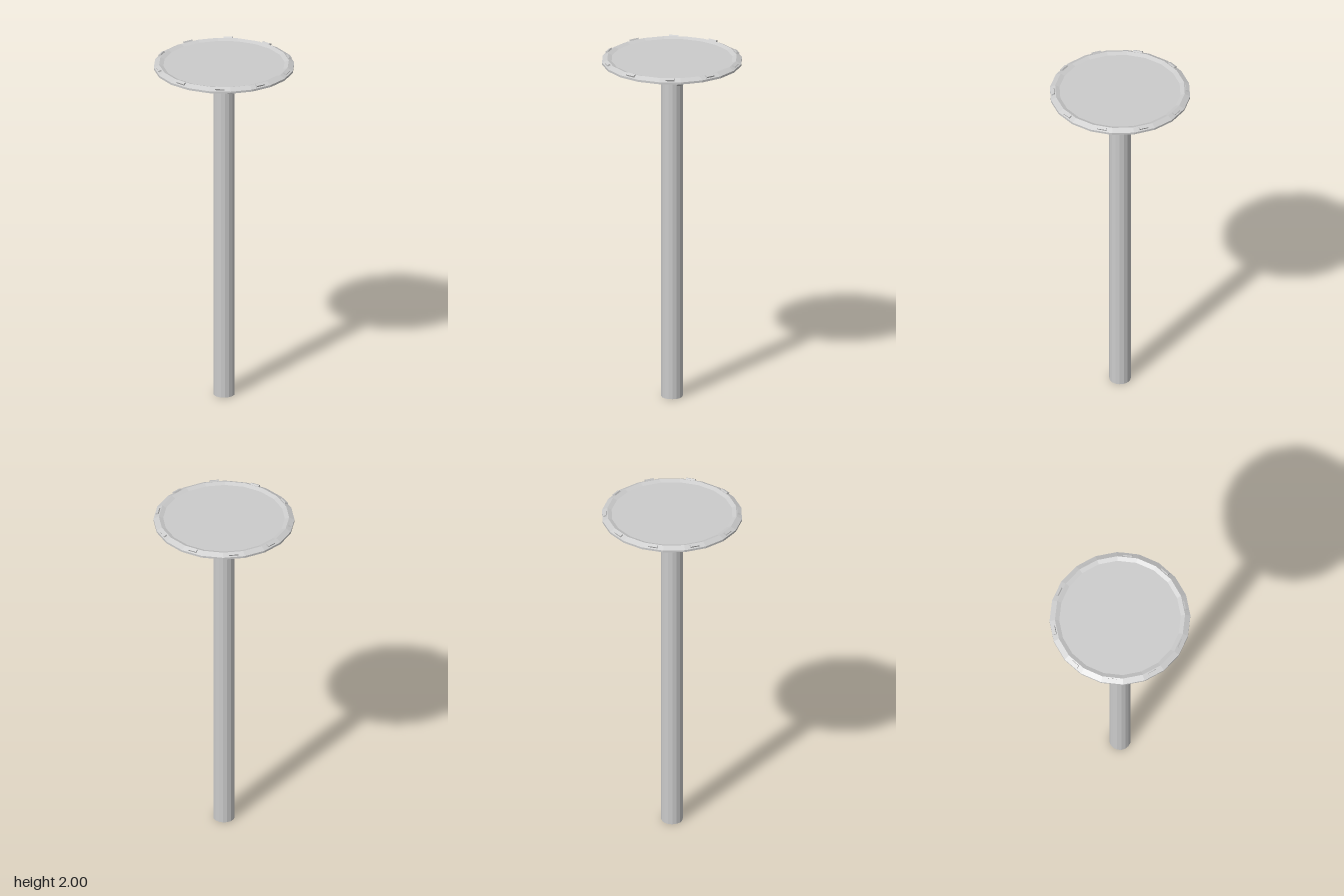
import * as THREE from 'three';

const material = new THREE.MeshStandardMaterial({ color: 0xcccccc, flatShading: true });

function add(parent, name, geometry) {
  const mesh = new THREE.Mesh(geometry, material);
  mesh.name = name;
  parent.add(mesh);
  return mesh;
}

// Lathe with a facet, rather than a corner, facing each axis
function turned(points, sides) {
  const profile = points.map(([r, y]) => new THREE.Vector2(r, y));
  return new THREE.LatheGeometry(profile, sides, Math.PI / sides);
}

export function createModel() {
  const group = new THREE.Group();
  group.name = 'pedestalPlatform';

  // Tall round column
  const pole = add(group, 'pole', new THREE.CylinderGeometry(0.06, 0.06, 1.93, 16));
  pole.position.y = 0.965;

  // Shallow dish with a bevelled raised rim
  add(group, 'platform', turned([
    [0, 1.958], [0.365, 1.958], [0.393, 1.968], [0.393, 1.98],
    [0.363, 1.995], [0.339, 1.986], [0, 1.986],
  ], 20));

  // Hub under the platform, tapering to the column
  add(group, 'hub', turned([[0.055, 1.91], [0.075, 1.912], [0.142, 1.932], [0.142, 1.96]], 20));

  // Five radial support ribs
  const ribShape = new THREE.Shape([
    [0.1, 1.932], [0.31, 1.932], [0.37, 1.96], [0.1, 1.96],
  ].map(([r, y]) => new THREE.Vector2(r, y)));
  const ribGeometry = new THREE.ExtrudeGeometry(ribShape, { depth: 0.03, bevelEnabled: false });
  ribGeometry.translate(0, 0, -0.015);
  for (let i = 0; i < 5; i++) {
    add(group, 'supportRib', ribGeometry).rotation.y = -(Math.PI / 4 + i * Math.PI * 0.4);
  }

  // Ten small blocks set along the rim bevel
  const blockGeometry = new THREE.BoxGeometry(0.052, 0.016, 0.018);
  blockGeometry.rotateX(0.46);
  blockGeometry.translate(0, 1.989, 0.373);
  for (let i = 0; i < 10; i++) {
    add(group, 'rimBlock', blockGeometry).rotation.y = i * Math.PI / 5;
  }
  return group;
}
